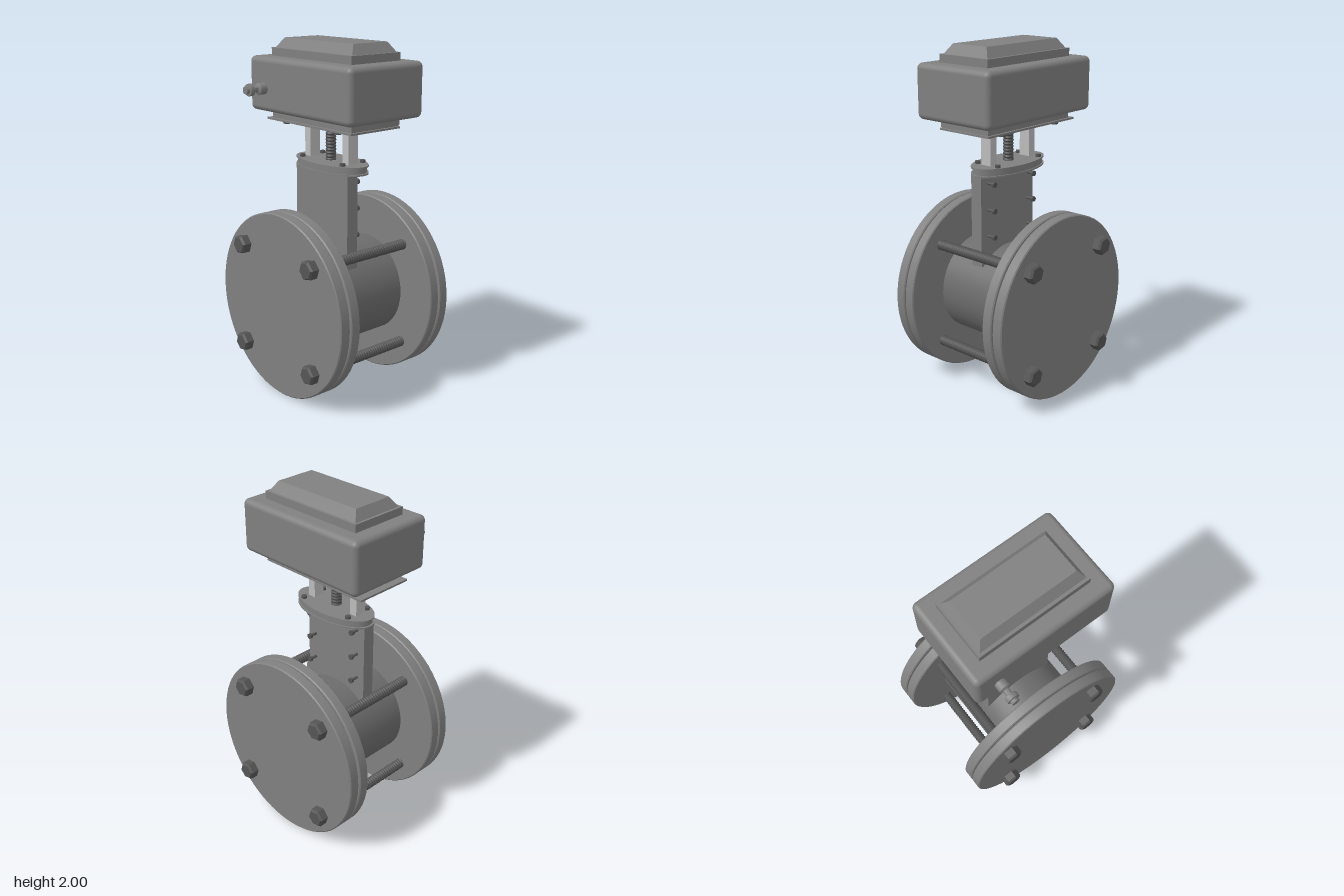
import * as THREE from 'three';
import { toCreasedNormals } from 'three/addons/utils/BufferGeometryUtils.js';
import { RoundedBoxGeometry } from 'three/addons/geometries/RoundedBoxGeometry.js';

const material = (name, color) => {
  const m = new THREE.MeshStandardMaterial({ color });
  m.name = name;
  return m;
};

export function createModel() {
  const model = new THREE.Group();
  model.name = 'motorisedGateValve';
  const grey = material('castGrey', 0x808080);
  const pipeGrey = material('pipeGrey', 0x6c6c6c);
  const dark = material('boltSteel', 0x555555);
  const light = material('brightSteel', 0xbcbcbc);

  const add = (name, geometry, mat, x, y, z) => {
    const mesh = new THREE.Mesh(geometry, mat);
    mesh.name = name;
    mesh.position.set(x, y, z);
    model.add(mesh);
    return mesh;
  };
  // box given by its limits on each axis
  const box = (name, mat, [x0, x1], [y0, y1], [z0, z1]) =>
    add(name, new THREE.BoxGeometry(x1 - x0, y1 - y0, z1 - z0), mat,
      (x0 + x1) / 2, (y0 + y1) / 2, (z0 + z1) / 2);
  // turned part from [radius, height] pairs, optionally laid along x
  const turned = (points, sides, alongX) => {
    const g = toCreasedNormals(new THREE.LatheGeometry(
      points.map(([r, h]) => new THREE.Vector2(r, h)), sides), 0.6);
    return alongX ? g.rotateZ(-Math.PI / 2) : g;
  };
  const threadProfile = (length, radius, pitch) => {
    const pts = [[0, 0]];
    const n = Math.round(length / pitch);
    for (let i = 0; i < n; i++) {
      pts.push([radius * 0.85, i * length / n], [radius, (i + 0.5) * length / n]);
    }
    pts.push([radius * 0.85, length], [0, length]);
    return pts;
  };

  const axisY = 0.537;

  // pipe and paired flanges
  const pipe = new THREE.CylinderGeometry(0.293, 0.293, 0.56, 64).rotateZ(Math.PI / 2);
  add('pipe', pipe, pipeGrey, -0.005, axisY, 0);
  const R = 0.536;
  const disc = turned([[0, 0], [R - 0.006, 0], [R, 0.006], [R, 0.058], [R - 0.006, 0.064], [0, 0.064]], 72, true);
  for (const [name, x] of [['rightBlindFlange', -0.409], ['rightPipeFlange', -0.338],
    ['leftPipeFlange', 0.266], ['leftBlindFlange', 0.339]]) add(name, disc, grey, x, axisY, 0);
  const gasket = new THREE.CylinderGeometry(0.51, 0.51, 0.012, 64).rotateZ(Math.PI / 2);
  for (const x of [-0.341, 0.334]) add('gasket', gasket, dark, x, axisY, 0);

  // threaded tie rods with hex heads
  const rod = turned(threadProfile(0.55, 0.031, 0.017), 16, true);
  const head = turned([[0, 0], [0.056, 0], [0.056, 0.042], [0.046, 0.054], [0, 0.054]], 6, true);
  head.rotateX(0.2);
  for (const y of [axisY - 0.302, axisY + 0.302]) {
    for (const z of [-0.303, 0.303]) {
      add('tieRod', rod, dark, -0.28, y, z);
      add('hexHead', head, dark, 0.403, y, z);
      add('hexHead', head, dark, -0.409, y, z).rotation.y = Math.PI;
    }
  }

  // gate housing with its screws
  box('gateHousing', grey, [-0.096, -0.021], [0.74, 1.285], [-0.217, 0.227]);
  const screw = turned([[0, 0], [0.008, 0], [0.008, 0.042], [0.016, 0.042], [0.016, 0.057], [0, 0.057]], 12, true);
  for (const y of [0.915, 1.07, 1.225]) {
    for (const z of [-0.165, 0.17]) add('housingScrew', screw, dark, -0.022, y, z);
  }

  // oval mounting flange with a grooved rim
  const oval = turned([[0, 0], [1, 0], [1, 0.009], [0.955, 0.009], [0.955, 0.041], [1, 0.041], [1, 0.05], [0, 0.05]], 64);
  add('ovalFlange', oval, grey, -0.018, 1.28, 0.005).scale.set(0.137, 1, 0.27);

  // vertical bolts on the oval flange and under the actuator
  const smallHead = new THREE.CylinderGeometry(0.016, 0.016, 0.016, 12);
  for (const x of [-0.09, 0.06]) {
    for (const z of [-0.168, 0.178]) add('ovalFlangeBolt', smallHead, dark, x, 1.337, z);
  }
  const largeHead = turned([[0, 0], [0.022, 0.004], [0.024, 0.022], [0, 0.022]], 6);
  for (const x of [-0.146, 0.12]) {
    for (const z of [-0.237, 0.207]) add('baseBolt', largeHead, dark, x, 1.514, z);
  }

  // yoke posts and threaded stem
  for (const z of [-0.163, 0.163]) {
    box('yokePost', light, [-0.055, 0.015], [1.32, 1.545], [z - 0.024, z + 0.024]);
  }
  add('stem', turned(threadProfile(0.22, 0.031, 0.018), 16), dark, -0.02, 1.325, 0);

  // actuator housing
  box('actuatorBasePlate', grey, [-0.195, 0.163], [1.535, 1.546], [-0.36, 0.363]);
  box('actuatorBase', grey, [-0.19, 0.16], [1.55, 1.6], [-0.312, 0.36]);
  box('actuatorBaseNeck', grey, [-0.18, 0.15], [1.54, 1.56], [-0.3, 0.35]);
  add('actuatorBody', new RoundedBoxGeometry(0.533, 0.305, 0.858, 5, 0.032), grey, -0.016, 1.748, 0.025);
  box('actuatorLid', grey, [-0.19, 0.16], [1.89, 1.945], [-0.312, 0.36]);

  // tapered cap: a box with its upper corners drawn in
  const cap = new THREE.BoxGeometry(0.32, 0.057, 0.645).toNonIndexed();
  const p = cap.attributes.position;
  for (let i = 0; i < p.count; i++) {
    if (p.getY(i) > 0) {
      p.setX(i, Math.sign(p.getX(i)) * 0.121);
      p.setZ(i, Math.sign(p.getZ(i)) * 0.287);
    }
  }
  cap.computeVertexNormals();
  add('taperedCap', cap, grey, -0.014, 1.9715, 0.024);

  // cable gland on the right side of the actuator
  const gland = turned([[0, 0], [0.022, 0], [0.022, 0.018], [0.035, 0.02], [0.035, 0.045],
    [0.017, 0.05], [0.017, 0.08], [0.033, 0.088], [0.033, 0.14], [0, 0.14]], 12, true);
  add('cableGland', gland, grey, -0.413, 1.727, -0.265);

  return model;
}
